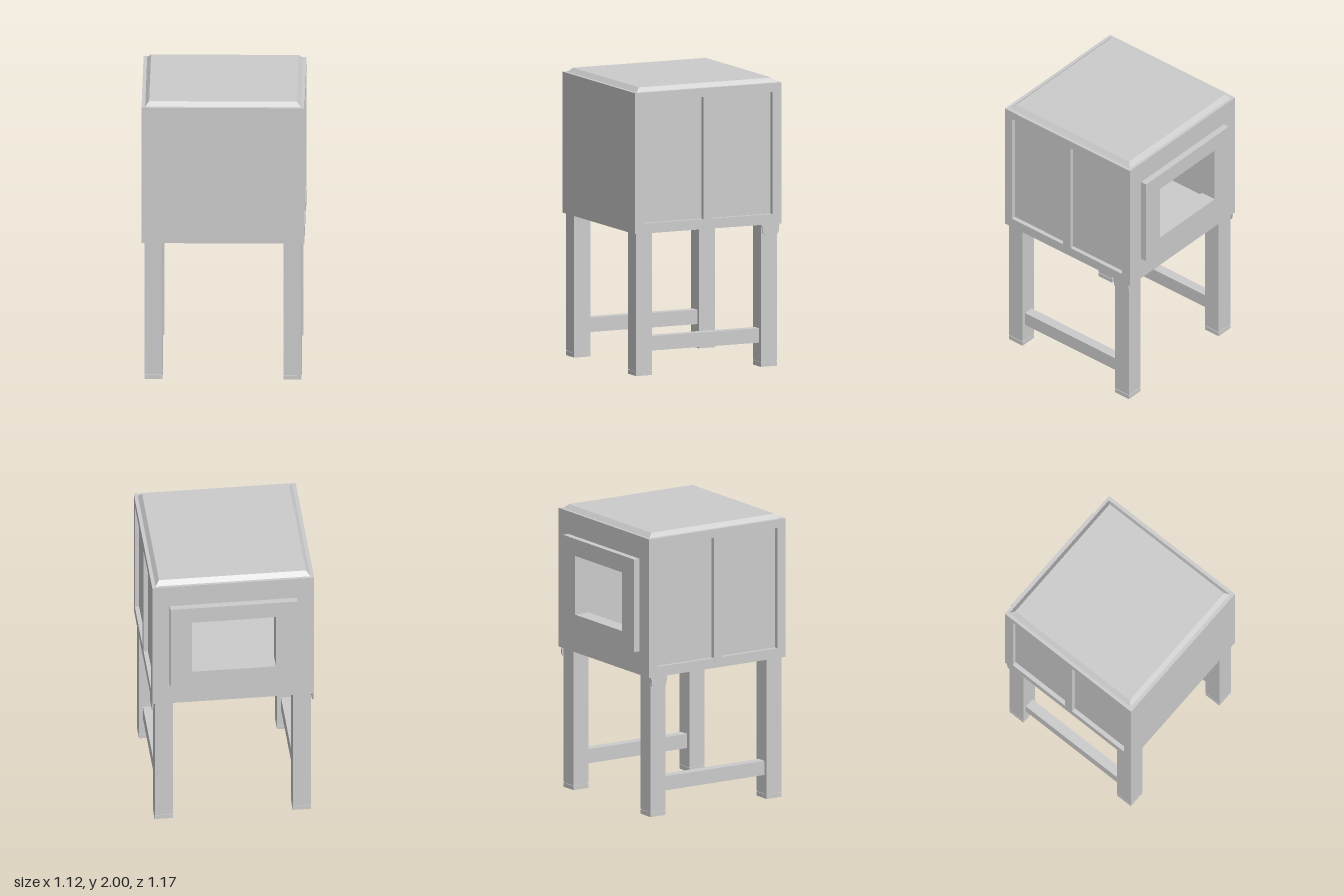
import * as THREE from 'three';

const grey = new THREE.MeshStandardMaterial({ color: 0xcccccc });

function add(parent, name, geometry) {
  const mesh = new THREE.Mesh(geometry, grey);
  mesh.name = name;
  parent.add(mesh);
  return mesh;
}

// Box given by its limits on each axis
function block(parent, name, x0, x1, y0, y1, z0, z1) {
  const g = new THREE.BoxGeometry(x1 - x0, y1 - y0, z1 - z0);
  g.translate((x0 + x1) / 2, (y0 + y1) / 2, (z0 + z1) / 2);
  return add(parent, name, g);
}

function rect(path, x0, x1, y0, y1) {
  path.moveTo(x0, y0);
  path.lineTo(x1, y0);
  path.lineTo(x1, y1);
  path.lineTo(x0, y1);
  path.closePath();
  return path;
}

// Flat plate with rectangular holes, in the xy plane, growing along +z
function plate(outer, holes, depth) {
  const shape = rect(new THREE.Shape(), ...outer);
  for (const h of holes) shape.holes.push(rect(new THREE.Path(), ...h));
  return new THREE.ExtrudeGeometry(shape, { depth, bevelEnabled: false });
}

export function createModel() {
  const model = new THREE.Group();
  model.name = 'oven';

  // Hollow body
  const body = new THREE.Group();
  body.name = 'body';
  model.add(body);
  block(body, 'frontWall', -0.53, 0.53, 0.99, 1.97, 0.515, 0.585);
  block(body, 'floor', -0.53, 0.53, 0.99, 1.06, -0.47, 0.515);
  block(body, 'ceiling', -0.53, 0.53, 1.9, 1.97, -0.47, 0.515);

  // Back wall and raised surround share one opening
  const opening = [-0.29, 0.29, 1.275, 1.69];
  add(body, 'backWall', plate([-0.53, 0.53, 0.99, 1.97], [opening], 0.07)).position.z = -0.54;
  add(body, 'openingSurround', plate([-0.44, 0.44, 1.155, 1.81], [opening], 0.045)).position.z = -0.585;

  // Side walls: outer frame with two recessed panels
  const panels = [[-0.52, -0.06, 1.06, 1.91], [0.005, 0.47, 1.06, 1.91]];
  for (const s of [1, -1]) {
    const frame = plate([-0.585, 0.54, 0.99, 1.97], panels, 0.03);
    frame.rotateY(Math.PI / 2);
    add(body, 'sideFrame', frame).position.x = s > 0 ? 0.53 : -0.56;
    block(body, 'sidePanel', s * 0.51 - 0.02, s * 0.51 + 0.02, 1.05, 1.92, -0.475, 0.525);
  }

  // Lid with sloping edges
  const lid = new THREE.BoxGeometry(1.07, 0.03, 1.08);
  const p = lid.attributes.position;
  for (let i = 0; i < p.count; i++) {
    if (p.getY(i) > 0) {
      p.setX(i, Math.sign(p.getX(i)) * 0.508);
      p.setZ(i, Math.sign(p.getZ(i)) * 0.51);
    }
  }
  lid.computeVertexNormals();
  add(model, 'lid', lid).position.set(0, 1.985, 0.02);

  // Stand: legs, feet, stretchers and rear brackets on both sides
  for (const s of [1, -1]) {
    const x = s * 0.4775;
    for (const z of [0.505, -0.453]) {
      block(model, 'leg', x - 0.0625, x + 0.0625, 0.035, 0.99, z - 0.0615, z + 0.0615);
      block(model, 'footGroove', x - 0.058, x + 0.058, 0.028, 0.036, z - 0.057, z + 0.057);
      block(model, 'foot', x - 0.0625, x + 0.0625, 0, 0.03, z - 0.0615, z + 0.0615);
    }
    block(model, 'stretcher', x - 0.035, x + 0.035, 0.165, 0.265, -0.395, 0.447);

    // Thin tab with rounded lower corners
    const tab = new THREE.Shape();
    tab.moveTo(0.39, 1.0);
    tab.lineTo(0.395, 0.95);
    tab.quadraticCurveTo(0.395, 0.92, 0.425, 0.92);
    tab.lineTo(0.495, 0.92);
    tab.quadraticCurveTo(0.52, 0.92, 0.52, 0.95);
    tab.lineTo(0.525, 1.0);
    tab.closePath();
    const g = new THREE.ExtrudeGeometry(tab, { depth: 0.01, bevelEnabled: false });
    g.rotateY(Math.PI / 2);
    add(model, 'rearBracket', g).position.x = s > 0 ? 0.549 : -0.559;
  }
  return model;
}
